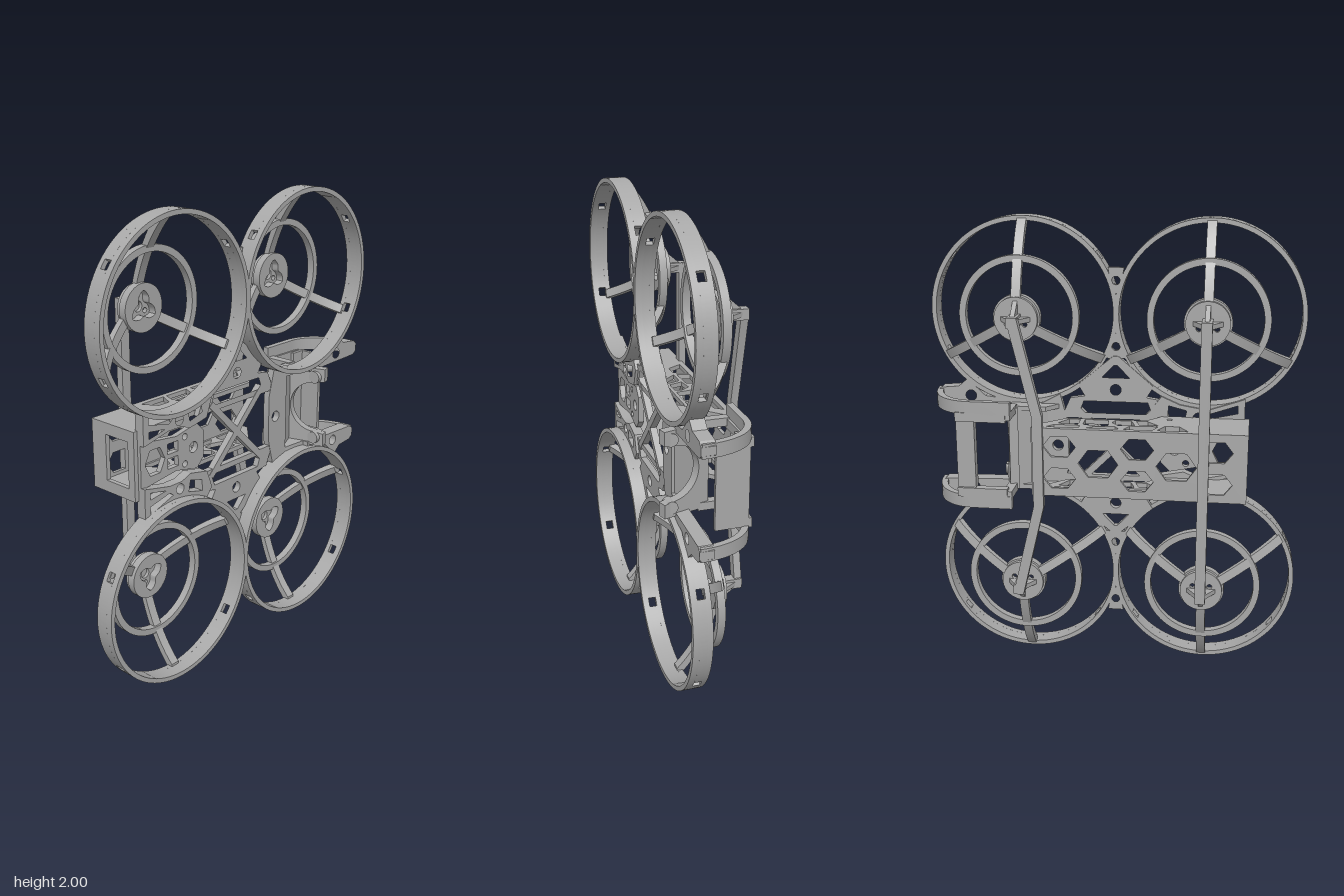
import * as THREE from 'three';
import { toCreasedNormals } from 'three/addons/utils/BufferGeometryUtils.js';

const grey = new THREE.MeshStandardMaterial({ color: 0xa8a8a8 });
grey.name = 'frame grey';

const V = (pts) => pts.map(([x, y]) => new THREE.Vector2(x, y));
const circle = (x, y, r) => new THREE.Path().absarc(x, y, r, 0, Math.PI * 2, true);
const poly = (pts) => new THREE.Path(V(pts));
const rect = (x0, y0, x1, y1) => [[x0, y0], [x1, y0], [x1, y1], [x0, y1]];
const hexagon = (x, y, rx, ry) => poly([0, 1, 2, 3, 4, 5].map((i) =>
  [x + rx * Math.cos(i * Math.PI / 3), y + ry * Math.sin(i * Math.PI / 3) / 0.866]));

function extrude(shape, depth, holes = [], segments = 16) {
  const s = Array.isArray(shape) ? new THREE.Shape(V(shape)) : shape;
  s.holes.push(...holes);
  return new THREE.ExtrudeGeometry(s, { depth, bevelEnabled: false, curveSegments: segments });
}
// Outline in x,y; thickness from z0 to z1
const plateXY = (shape, z0, z1, holes, seg) => extrude(shape, z1 - z0, holes, seg).translate(0, 0, z0);
// Outline in x,z; thickness from y0 to y1
const plateXZ = (shape, y0, y1, holes) => extrude(shape, y1 - y0, holes).rotateX(Math.PI / 2).translate(0, y1, 0);
// Outline in y,z; thickness from x0 to x1
const plateYZ = (shape, x0, x1, holes) => extrude(shape, x1 - x0, holes)
  .applyMatrix4(new THREE.Matrix4().makeBasis(
    new THREE.Vector3(0, 1, 0), new THREE.Vector3(0, 0, 1), new THREE.Vector3(1, 0, 0)))
  .translate(x0, 0, 0);
const box = (x0, x1, y0, y1, z0, z1) => new THREE.BoxGeometry(x1 - x0, y1 - y0, z1 - z0)
  .translate((x0 + x1) / 2, (y0 + y1) / 2, (z0 + z1) / 2);

function add(parent, name, geometry) {
  const mesh = new THREE.Mesh(toCreasedNormals(geometry, 0.5), grey);
  mesh.name = name;
  parent.add(mesh);
  return mesh;
}

// Annular sector outline
function sector(r0, r1, a0, a1) {
  const s = new THREE.Shape();
  s.absarc(0, 0, r1, a0, a1, false);
  s.absarc(0, 0, r0, a1, a0, true);
  return s;
}

// Duct ring, spokes, guard ring and motor hub; s = 1 upper, -1 lower
function buildDuct(sx, s) {
  const g = new THREE.Group();
  g.name = 'duct';
  g.position.set(sx * 0.398, s * 0.593, 0);
  const ring = (r0, r1, z0, z1) => plateXY(
    new THREE.Shape().absarc(0, 0, r1, 0, Math.PI * 2, false), z0, z1, [circle(0, 0, r0)], 48);
  add(g, 'ductRearBand', ring(0.386, 0.406, 0.065, 0.087));
  add(g, 'ductFrontBand', ring(0.386, 0.406, 0.12, 0.148));
  // Middle band, interrupted by small strap windows
  const windows = [37, 143, sx > 0 ? -28 : 208].map((d) => d * Math.PI / 180).sort((a, b) => a - b);
  windows.forEach((a, i) => {
    const next = i < 2 ? windows[i + 1] : windows[0] + Math.PI * 2;
    const sec = s > 0 ? sector(0.386, 0.406, a + 0.05, next - 0.05) : sector(0.386, 0.406, -next + 0.05, -a - 0.05);
    add(g, 'ductMiddleBand', plateXY(sec, 0.087, 0.12, [], 32));
  });
  add(g, 'guardRing', ring(0.228, 0.256, -0.04, -0.006));
  for (const d of [90, 210, 330]) {
    const p = new THREE.Shape();
    p.moveTo(0.395, 0.09);
    p.lineTo(0.395, 0.065);
    p.quadraticCurveTo(0.28, -0.045, 0.07, -0.1);
    p.lineTo(0.07, -0.075);
    p.quadraticCurveTo(0.265, -0.02, 0.375, 0.09);
    add(g, 'spoke', plateXZ(p, -0.02, 0.02).rotateZ(s * d * Math.PI / 180));
  }
  // Hub with a three-lobed recess and screw holes
  const lobe = new THREE.Path(new THREE.CatmullRomCurve3(Array.from({ length: 12 }, (_, i) => {
    const a = i * Math.PI / 6, r = 0.052 + 0.018 * Math.cos(3 * (a - s * Math.PI / 2));
    return new THREE.Vector3(r * Math.cos(a), r * Math.sin(a), 0);
  }), true).getPoints(48).map((p) => new THREE.Vector2(p.x, p.y)));
  const disc = (r) => new THREE.Shape().absarc(0, 0, r, 0, Math.PI * 2, false);
  add(g, 'hubRim', plateXY(disc(0.1), -0.085, -0.05, [lobe], 24));
  const screws = [90, 210, 330].map((d) => {
    const a = s * d * Math.PI / 180;
    return circle(0.043 * Math.cos(a), 0.043 * Math.sin(a), 0.011);
  });
  add(g, 'hubBase', plateXY(disc(0.092), -0.105, -0.085, [circle(0, 0, 0.022), ...screws], 24));
  // Post and gussets that carry the brace
  add(g, 'bracePost', box(-0.022, 0.022, -0.022, 0.022, -0.197, -0.1));
  add(g, 'sideGusset', plateXZ([[-0.065, -0.1], [0.065, -0.1], [0.02, -0.17], [-0.02, -0.17]], -0.01, 0.01));
  add(g, 'endGusset', plateYZ([[0, -0.1], [s * 0.08, -0.1], [s * 0.02, -0.17], [0, -0.17]], -0.01, 0.01));
  return g;
}

export function createModel() {
  const root = new THREE.Group();
  root.name = 'droneFrame';
  const m = new THREE.Group();
  m.name = 'frame';
  m.position.y = 1;
  root.add(m);

  for (const sx of [-1, 1]) for (const s of [1, -1]) m.add(buildDuct(sx, s));

  // Rear braces: one straight, one bent inward
  add(m, 'straightBrace', box(-0.42, -0.375, -0.61, 0.61, -0.197, -0.165));
  add(m, 'bentBrace', plateXY([[0.375, 0.61], [0.418, 0.6], [0.322, 0.2], [0.322, -0.2], [0.418, -0.6],
    [0.375, -0.61], [0.278, -0.2], [0.278, 0.2]], -0.197, -0.165));

  for (const s of [1, -1]) {
    const at = (pts) => pts.map(([x, y]) => [x, y * s]);
    const mirrorX = (pts) => at([...pts, ...pts.slice().reverse().map(([x, y]) => [-x, y])]);
    // Webs joining neighbouring ducts
    add(m, 'outerWeb', plateXY(mirrorX([[0.012, 0.68], [0.035, 0.79]]), 0.065, 0.085, [circle(0, s * 0.735, 0.018)]));
    add(m, 'innerWeb', plateXY(mirrorX([[0.045, 0.4], [0.012, 0.51]]), 0.065, 0.085, [circle(0, s * 0.452, 0.018)]));
    // Central triangular plate
    add(m, 'centrePlate', plateXY(mirrorX([[0.012, 0.41], [0.165, 0.28], [0.135, 0.23], [0.2, 0.22], [0.24, 0.13]]),
      0.06, 0.088, [poly(mirrorX([[0.008, 0.37], [0.06, 0.315]])), circle(0, s * 0.262, 0.024),
        poly(mirrorX([[0.14, 0.208], [0.16, 0.155]]))]));
    add(m, 'crossBar', box(-0.23, 0.23, -0.015, 0.015, 0.06, 0.09).rotateZ(s * Math.PI / 4));
    // Nose plate with pockets
    add(m, 'nosePlate', plateXY(at([[-0.56, 0.24], [-0.52, 0.225], [-0.4, 0.185], [-0.28, 0.205], [-0.2, 0.24],
      [-0.17, 0.2], [-0.2, 0.12], [-0.3, 0.1], [-0.35, 0.12], [-0.42, 0.12], [-0.56, 0.09]]), 0.055, 0.1,
    [poly(at([[-0.53, 0.21], [-0.4, 0.165], [-0.42, 0.15], [-0.53, 0.175]])), circle(-0.36, s * 0.15, 0.022),
      poly(at([[-0.53, 0.145], [-0.44, 0.133], [-0.53, 0.115]])),
      poly(at([[-0.31, 0.18], [-0.23, 0.2], [-0.23, 0.15], [-0.3, 0.13]]))]));
    // Tray side wall with lattice openings
    const y = s > 0 ? 0.13 : -0.15;
    add(m, 'traySide', plateXZ([[-0.58, -0.18], [0.33, -0.18], [0.33, -0.14], [0.2, -0.015], [-0.14, -0.015],
      [-0.21, 0.065], [-0.58, 0.065]], y, y + 0.02, [
      poly([[-0.33, -0.155], [-0.2, -0.155], [-0.23, -0.09], [-0.29, -0.09]]),
      poly([[-0.18, -0.155], [-0.06, -0.155], [-0.08, -0.105], [-0.2, -0.1]]),
      poly([[-0.2, -0.085], [-0.12, -0.085], [-0.1, -0.03], [-0.15, -0.03]]),
      poly([[-0.1, -0.09], [-0.03, -0.1], [0, -0.06], [-0.01, -0.03], [-0.08, -0.03]]),
      poly([[-0.04, -0.155], [0.1, -0.155], [0.07, -0.13], [-0.02, -0.12]]),
      poly([[0.01, -0.11], [0.06, -0.12], [0.12, -0.1], [0.12, -0.03], [0.02, -0.03]]),
      poly([[0.13, -0.155], [0.27, -0.155], [0.24, -0.12], [0.13, -0.12]]),
      poly([[0.14, -0.1], [0.23, -0.1], [0.19, -0.03], [0.14, -0.03]]),
      circle(-0.24, 0.012, 0.012)]));
    // Tail pad, curved arm and inner rail
    add(m, 'tailPad', plateXY(at([[0.45, 0.17], [0.45, 0.2], [0.58, 0.215], [0.66, 0.29], [0.7, 0.255],
      [0.78, 0.247], [0.8, 0.23], [0.8, 0.195], [0.78, 0.18]]), 0.065, 0.125, [circle(0.645, s * 0.215, 0.024)]));
    const arm = new THREE.Shape();
    arm.moveTo(0.8, 0.12);
    arm.bezierCurveTo(0.8, -0.03, 0.72, -0.133, 0.6, -0.133);
    arm.lineTo(0.43, -0.133);
    arm.lineTo(0.43, -0.105);
    arm.lineTo(0.6, -0.105);
    arm.bezierCurveTo(0.7, -0.105, 0.772, -0.02, 0.772, 0.12);
    add(m, 'tailArm', plateXZ(arm, s > 0 ? 0.183 : -0.24, s > 0 ? 0.24 : -0.183));
    add(m, 'tailRail', box(0.45, 0.67, Math.min(s * 0.15, s * 0.19), Math.max(s * 0.15, s * 0.19), -0.133, -0.095));
    add(m, 'mountSide', plateXZ([[0.25, 0.06], [0.3, 0], [0.45, 0], [0.47, 0.1], [0.3, 0.088]],
      s > 0 ? 0.17 : -0.19, s > 0 ? 0.19 : -0.17));
    add(m, 'mountStrut', box(0.43, 0.47, Math.min(s * 0.16, s * 0.195), Math.max(s * 0.16, s * 0.195), -0.13, 0.02));
    // Clamp knobs on the camera cradle
    add(m, 'cradleKnob', new THREE.CylinderGeometry(0.028, 0.028, 0.055, 20).rotateZ(Math.PI / 2)
      .translate(0.485, s * 0.145, 0.145));
  }

  // Tray back with hexagonal openings
  const backHoles = [];
  for (let i = 0; i < 5; i++) {
    const x = -0.45 + i * 0.165;
    if (i % 2) backHoles.push(hexagon(x, 0, 0.085, 0.06));
    else backHoles.push(hexagon(x, 0.07, 0.07, 0.045), hexagon(x, -0.07, 0.07, 0.045));
  }
  add(m, 'trayBack', plateXY(rect(-0.58, -0.15, 0.33, 0.15), -0.18, -0.165, backHoles));
  add(m, 'trayEnd', plateYZ(rect(-0.15, -0.18, 0.15, 0.065), -0.58, -0.56, [poly(rect(-0.1, -0.1, 0.1, 0.03))]));

  // Nose lattice between the nose plates
  add(m, 'noseLattice', plateXY([[-0.56, -0.1], [-0.36, -0.075], [-0.24, -0.1], [-0.2, -0.06], [-0.2, 0.06],
    [-0.24, 0.1], [-0.36, 0.075], [-0.56, 0.1]], 0.055, 0.08,
  [hexagon(-0.48, 0, 0.055, 0.055), poly(rect(-0.41, 0.01, -0.35, 0.055)), poly(rect(-0.41, -0.055, -0.35, -0.01)),
    circle(-0.26, 0, 0.024), circle(-0.31, 0.06, 0.014), circle(-0.31, -0.06, 0.014)]));

  // Flat tail plate and sloping camera panel
  add(m, 'tailPlate', plateXY([[0.21, -0.1], [0.245, -0.235], [0.33, -0.19], [0.33, 0.19], [0.245, 0.235], [0.21, 0.1]],
    0.06, 0.09, [circle(0.258, 0, 0.024)]));
  add(m, 'cameraPanel', plateXZ([[0.3, 0.09], [0.3, 0.06], [0.43, -0.005], [0.46, 0.015]], -0.18, 0.18));

  // Camera cradle: a leaning plate with a round notch
  const cradle = new THREE.Shape();
  cradle.moveTo(-0.185, -0.02);
  cradle.lineTo(0.185, -0.02);
  cradle.lineTo(0.185, 0.19);
  cradle.lineTo(0.125, 0.19);
  cradle.lineTo(0.115, 0.12);
  cradle.absarc(0, 0.145, 0.118, -0.2, Math.PI + 0.2, true);
  cradle.lineTo(-0.125, 0.19);
  cradle.lineTo(-0.185, 0.19);
  add(m, 'cameraCradle', plateYZ(cradle, -0.02, 0.02)).rotation.y = 0.3;
  m.getObjectByName('cameraCradle').position.x = 0.445;

  // Tail crossbar
  add(m, 'tailCrossbar', box(0.59, 0.67, -0.185, 0.185, -0.12, -0.08));
  add(m, 'tailCrossbarLip', box(0.655, 0.672, -0.185, 0.185, -0.1, 0.02));
  return root;
}
